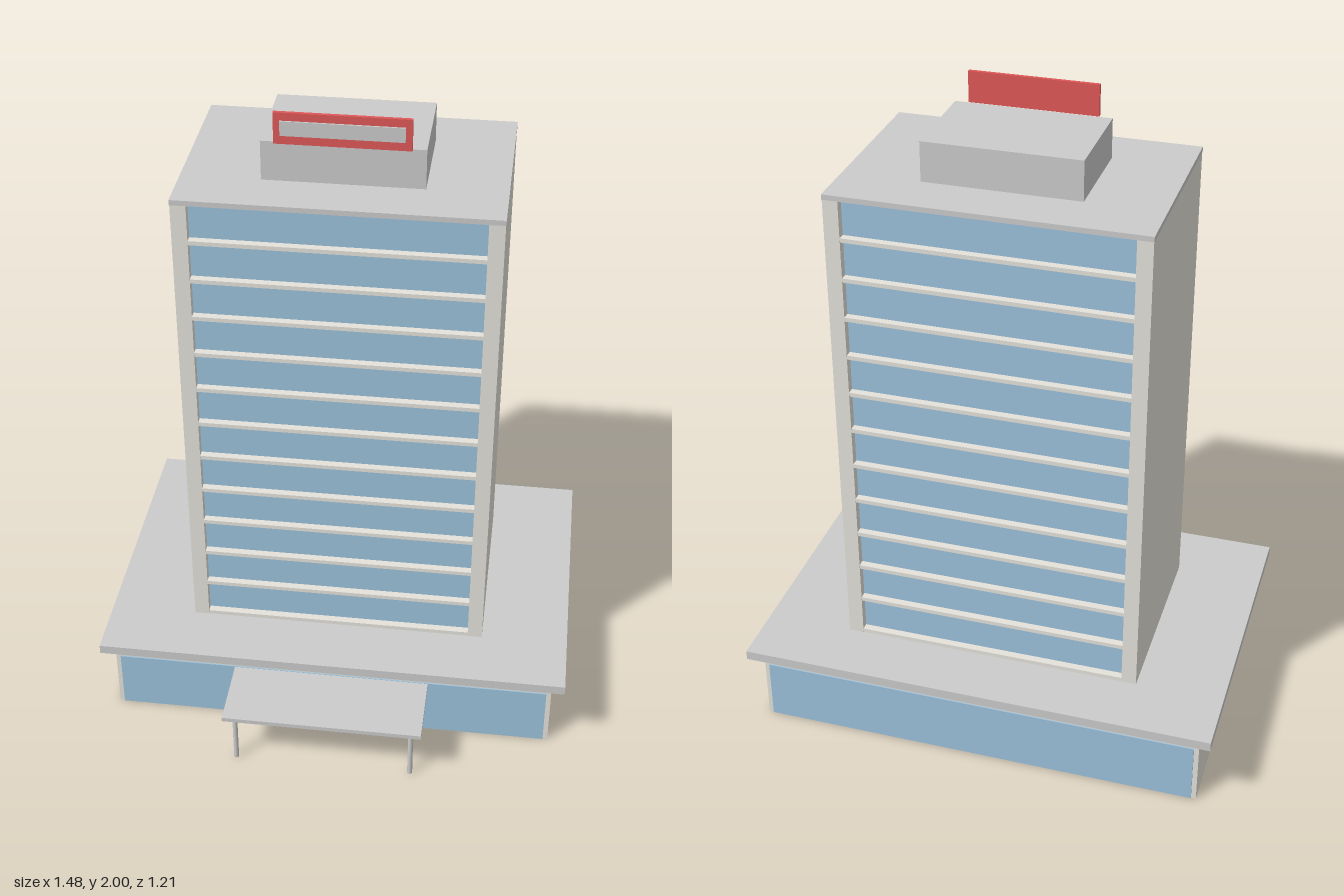
import * as THREE from 'three';

const material = (color) => new THREE.MeshStandardMaterial({ color });

export function createModel() {
  const model = new THREE.Group();
  model.name = 'officeTower';
  const grey = material(0xcccccc);
  const stone = material(0xe4e2da);
  const glass = material(0x9cc2dc);
  const red = material(0xe05858);

  // Box given by its limits on each axis
  const block = (name, mat, [x0, x1], [y0, y1], [z0, z1]) => {
    const mesh = new THREE.Mesh(new THREE.BoxGeometry(x1 - x0, y1 - y0, z1 - z0), mat);
    mesh.position.set((x0 + x1) / 2, (y0 + y1) / 2, (z0 + z1) / 2);
    mesh.name = name;
    model.add(mesh);
    return mesh;
  };

  // Podium: stone body, glazing on front and back, overhanging roof
  block('podiumBody', stone, [-0.7, 0.7], [0, 0.24], [-0.563, 0.37]);
  block('podiumGlazing', glass, [-0.685, 0.685], [0.001, 0.197], [-0.567, 0.374]);
  block('podiumRoof', grey, [-0.74, 0.74], [0.238, 0.268], [-0.605, 0.41]);

  // Entrance canopy on two posts
  block('canopy', grey, [-0.31, 0.31], [0.182, 0.196], [0.36, 0.605]);
  for (const side of [-1, 1]) {
    const post = new THREE.Mesh(new THREE.CylinderGeometry(0.008, 0.008, 0.183, 12), grey);
    post.position.set(side * 0.276, 0.0915, 0.57);
    post.name = 'canopyPost';
    model.add(post);
  }

  // Tower: solid side walls, recessed glass core, floor slabs
  const zBack = -0.41, zFront = 0.212, recess = 0.024;
  const base = 0.268, pitch = 0.125, floors = 12, slab = 0.013;
  const top = base + floors * pitch;
  block('leftWall', stone, [0.422, 0.468], [base, top], [zBack, zFront]);
  block('rightWall', stone, [-0.468, -0.422], [base, top], [zBack, zFront]);
  block('towerGlazing', glass, [-0.422, 0.422], [base, top], [zBack + recess, zFront - recess]);
  for (let i = 0; i < floors; i++) {
    const y = base + i * pitch;
    block('floorSlab', stone, [-0.422, 0.422], [y, y + slab], [zBack + 0.001, zFront - 0.001]);
  }
  block('towerRoof', grey, [-0.469, 0.469], [top, top + 0.016], [zBack - 0.001, zFront + 0.001]);

  // Plant room and framed sign board on the roof
  block('plantRoom', grey, [-0.235, 0.235], [top + 0.01, 1.905], [-0.253, 0.058]);
  block('signBoard', red, [-0.195, 0.195], [1.905, 2], [0.06, 0.071]);
  block('signPanel', grey, [-0.176, 0.176], [1.932, 1.976], [0.069, 0.076]);

  return model;
}
